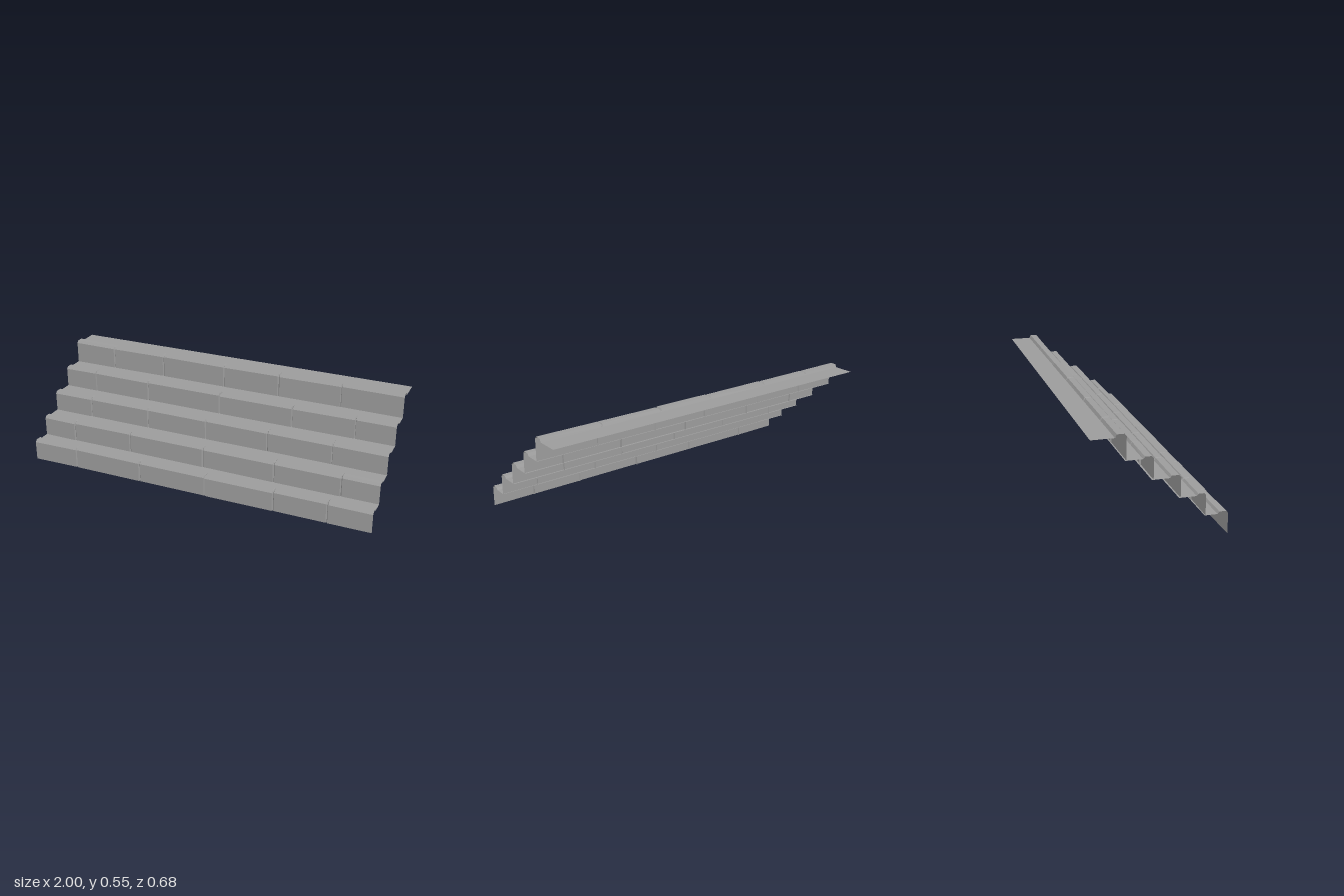
import * as THREE from 'three';

const material = new THREE.MeshStandardMaterial({ color: 0x9c9c9c, flatShading: true, side: THREE.DoubleSide });

// One row per step: front face z, back of lip z, base y, tread y, top y, groove depth, joints between stones
const steps = [
  { z: 0.339, lip: 0.283, base: 0, tread: 0.107, top: 0.122, d: 0.011, joints: [-0.73, -0.325, 0.07, 0.465, 0.76] },
  { z: 0.227, lip: 0.174, base: 0.107, tread: 0.212, top: 0.226, d: 0.008, joints: [-0.8, -0.44, 0.01, 0.425, 0.795] },
  { z: 0.097, lip: 0.039, base: 0.212, tread: 0.317, top: 0.332, d: 0.009, joints: [-0.76, -0.39, -0.03, 0.335, 0.70] },
  { z: -0.035, lip: -0.092, base: 0.317, tread: 0.424, top: 0.438, d: 0.012, joints: [-0.8, -0.455, -0.005, 0.425, 0.78] },
  { z: -0.168, lip: -0.225, base: 0.424, tread: 0.538, top: 0.555, d: 0.008, joints: [-0.745, -0.42, -0.035, 0.295, 0.655] },
];
const backZ = -0.34;

// Small seeded generator for the uneven stone faces
function seeded(seed) {
  return () => (seed = (seed * 16807) % 2147483647) / 2147483647;
}

// Cross-section of the stone facing: riser, chamfered nosing, flat top, sloping lip
function section(s, inset, drop) {
  const z = s.z - inset, top = s.top - drop, lip = s.lip + drop * 0.5;
  return [
    [s.base, z],
    [top - 0.012, z],
    [top, z - 0.010],
    [top, lip + 0.009],
    [s.tread, lip],
  ];
}

// Joins cross-sections placed along x into one sheet
function sheet(sections) {
  const pos = [], index = [], n = sections[0].points.length;
  sections.forEach(({ x, points }, i) => {
    points.forEach(([y, z], j) => {
      pos.push(x, y, z);
      if (i + 1 < sections.length && j + 1 < n) {
        const a = i * n + j, b = a + n;
        index.push(a, b, a + 1, b, b + 1, a + 1);
      }
    });
  });
  const g = new THREE.BufferGeometry();
  g.setAttribute('position', new THREE.Float32BufferAttribute(pos, 3));
  g.setIndex(index);
  const flat = g.toNonIndexed();
  flat.computeVertexNormals();
  return flat;
}

function add(group, geometry, name) {
  const mesh = new THREE.Mesh(geometry, material);
  mesh.name = name;
  group.add(mesh);
}

export function createModel() {
  const model = new THREE.Group();
  model.name = 'stoneStairs';
  const rand = seeded(4127);

  steps.forEach((s, k) => {
    const step = new THREE.Group();
    step.name = `step${k + 1}`;

    // Stones with slightly skewed faces, separated by narrow V-shaped grooves
    const stoneEnd = (x) => ({ x, points: section(s, rand() * 0.005, rand() * 0.004) });
    const sections = [stoneEnd(-1)];
    for (const x of s.joints) {
      const half = 0.003 + rand() * 0.003;
      sections.push(stoneEnd(x - half), { x, points: section(s, s.d, 0.007) }, stoneEnd(x + half));
    }
    sections.push(stoneEnd(1));
    add(step, sheet(sections), 'stoneFacing');

    // Flat tread from the lip back to the next riser
    const next = steps[k + 1];
    const front = s.lip + 0.004;
    const back = next ? next.z - next.d : backZ;
    const tread = new THREE.PlaneGeometry(2, front - back);
    tread.rotateX(-Math.PI / 2).translate(0, s.tread, (front + back) / 2);
    add(step, tread, 'tread');

    model.add(step);
  });
  return model;
}
